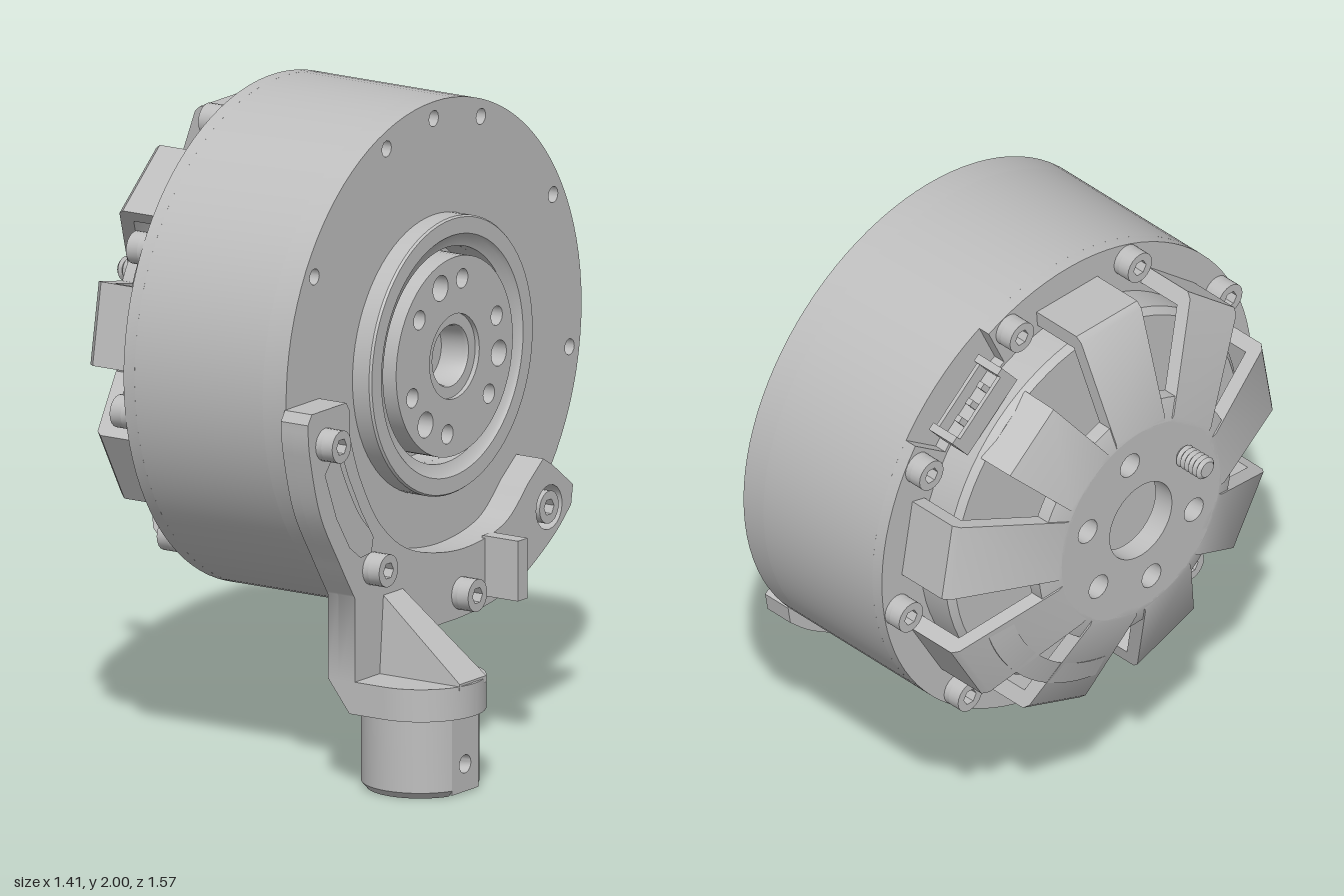
import * as THREE from 'three';
import { toCreasedNormals } from 'three/addons/utils/BufferGeometryUtils.js';

const grey = new THREE.MeshStandardMaterial({ color: 0xbebebe });
grey.name = 'machined grey';
const rad = THREE.MathUtils.degToRad;
const pts = (a) => a.map((p) => new THREE.Vector2(...p));
const polar = (r, deg) => [r * Math.cos(rad(deg)), r * Math.sin(rad(deg))];

function add(parent, name, geometry) {
  const mesh = new THREE.Mesh(toCreasedNormals(geometry, 0.6), grey);
  mesh.name = name;
  parent.add(mesh);
  return mesh;
}

// Arc of n + 1 points; ring is the closed version around (u, v)
const arc = (r, a0, a1, n) => pts(Array.from({ length: n + 1 }, (_, i) => polar(r, a0 + ((a1 - a0) * i) / n)));
const ring = (r, u = 0, v = 0, n = 20) => arc(r, 0, 360 - 360 / n, n - 1).map((p) => p.add(new THREE.Vector2(u, v)));

function shapeOf(points, holes = []) {
  const s = new THREE.Shape(points);
  holes.forEach((h) => s.holes.push(new THREE.Path(h)));
  return s;
}

// Shape seen from +x (u = -z, v = y), extruded from x0 to x1
function plate(shape, x0, x1) {
  const g = new THREE.ExtrudeGeometry(shape, { depth: x1 - x0, bevelEnabled: false, curveSegments: 10 });
  return g.rotateY(Math.PI / 2).translate(x0, 0, 0);
}

// Profile of [radius, x] pairs revolved about the x axis
const turned = (profile, segments = 72) => new THREE.LatheGeometry(pts(profile), segments).rotateZ(-Math.PI / 2);

// Cap screw with a hexagonal socket; side = 1 faces +x, -1 faces -x
function screw(parent, x, y, z, side) {
  const g = new THREE.Group();
  g.name = 'capScrew';
  add(g, 'screwBase', plate(shapeOf(ring(0.05)), 0, 0.02));
  add(g, 'screwSocket', plate(shapeOf(ring(0.05), [ring(0.026, 0, 0, 6)]), 0.02, 0.06));
  g.position.set(x, y, z);
  if (side < 0) g.rotation.y = Math.PI;
  parent.add(g);
}

// Cover spoke from a section in x and radius, widening towards the rim
function spoke(parent, section, angle) {
  const g = new THREE.ExtrudeGeometry(shapeOf(pts(section)), { depth: 1, bevelEnabled: false }).translate(0, 0, -0.5);
  const p = g.attributes.position;
  for (let i = 0; i < p.count; i++) p.setZ(i, p.getZ(i) * (0.2 + 0.15 * (p.getY(i) - 0.32)));
  add(parent, 'coverSpoke', g).rotation.x = rad(90 - angle);
}

function buildMotor() {
  const motor = new THREE.Group();
  motor.name = 'motor';
  motor.position.set(0, 1.228, -0.01);

  // Drum with a notched back rim and a drilled front plate
  add(motor, 'drum', turned([[0, -0.245], [0.772, -0.245], [0.772, 0.22], [0, 0.22]], 96));
  add(motor, 'backRim', plate(shapeOf([...arc(0.772, 65, 395, 88), ...arc(0.62, 35, 65, 8)]), -0.285, -0.245));
  const drilled = [30, 70, 90, 110, 150, 190, 210, -50, -90, -10].map((a) => ring(0.025, ...polar(0.72, a), 12));
  add(motor, 'frontPlate', plate(shapeOf(ring(0.772, 0, 0, 96), [ring(0.33, 0, 0, 64), ...drilled]), 0.22, 0.305));

  // Output bearing ring and flange
  add(motor, 'bearingRing', turned([[0.425, 0.29], [0.425, 0.365], [0.42, 0.372], [0.37, 0.372], [0.36, 0.36],
    [0.33, 0.35], [0.33, 0.22]]));
  const bolts = [[0.04, 108], [0.03, 80], [0.03, 20], [0.04, -9], [0.03, -40], [0.03, -99], [0.04, -130],
    [0.03, 201], [0.03, 141]].map(([r, a]) => ring(r, ...polar(0.235, a), 16));
  add(motor, 'outputFlange', plate(shapeOf(ring(0.305, 0, 0, 64), [ring(0.13, 0, 0, 40), ...bolts]), 0.22, 0.38));
  add(motor, 'flangeHub', turned([[0.13, 0.22], [0.13, 0.365], [0.095, 0.365], [0.09, 0.355], [0.09, 0.27],
    [0.04, 0.27], [0.04, 0.22]], 40));

  // Rear core and hollow spoked cover
  add(motor, 'rearCore', turned([[0, -0.41], [0.59, -0.41], [0.61, -0.39], [0.61, -0.28]]));
  const hubHoles = [1, 2, 3, 4, 5].map((k) => ring(0.04, ...polar(0.234, 139 + 60 * k), 16));
  add(motor, 'coverHub', plate(shapeOf(ring(0.33, 0, 0, 72), [ring(0.13, 0, 0, 40), ...hubHoles]), -0.6, -0.53));
  add(motor, 'coverHubRim', turned([[0.32, -0.53], [0.32, -0.6], [0.335, -0.6], [0.4, -0.575], [0.4, -0.53], [0.32, -0.53]]));
  const fullSpoke = [[-0.6, 0.3], [-0.6, 0.335], [-0.475, 0.66], [-0.455, 0.677], [-0.28, 0.677],
    [-0.28, 0.625], [-0.44, 0.625], [-0.53, 0.39], [-0.53, 0.3]];
  const shortSpoke = [[-0.6, 0.3], [-0.6, 0.335], [-0.51, 0.57], [-0.4, 0.59], [-0.4, 0.54], [-0.47, 0.54],
    [-0.53, 0.39], [-0.53, 0.3]];
  for (let k = 0; k < 9; k++) {
    const angle = 10 + 40 * k;
    spoke(motor, angle === 130 ? shortSpoke : fullSpoke, angle);
    const [z, y] = polar(0.72, angle + 20);
    screw(motor, -0.285, y, z, -1);
  }

  // Curved band of the cover passing under the connector
  const band = new THREE.LatheGeometry(pts([[0.5, -0.54], [0.58, -0.51], [0.58, -0.46], [0.53, -0.46], [0.5, -0.54]]),
    16, rad(100), rad(60));
  add(motor, 'coverBand', band.rotateZ(-Math.PI / 2)).rotation.x = rad(-130 + 130 - 40 + 130 - 90);

  // Threaded stud
  const thread = [[0, -0.705], [0.026, -0.705]];
  for (let i = 0; i < 6; i++) thread.push([0.037, -0.695 + i * 0.017], [0.027, -0.687 + i * 0.017]);
  thread.push([0.03, -0.56], [0, -0.56]);
  add(motor, 'threadedStud', turned(thread, 20)).position.set(0, 0.155, 0.175);

  // Cable connector: housing open outwards, with pins
  const connector = new THREE.Group();
  connector.name = 'connector';
  const box = (name, w, h, d, x, y, z) => add(connector, name, new THREE.BoxGeometry(w, h, d).translate(x, y, z));
  box('connectorFloor', 0.1, 0.03, 0.27, -0.325, 0.635, 0);
  for (const s of [-1, 1]) {
    box('connectorEnd', 0.1, 0.1, 0.025, -0.325, 0.67, s * 0.1225);
    box('connectorSide', 0.012, 0.08, 0.27, -0.325 + s * 0.044, 0.66, 0);
  }
  for (let i = -1; i <= 1; i++) box('connectorPin', 0.02, 0.07, 0.02, -0.325, 0.66, i * 0.06);
  connector.rotation.x = rad(90 - 130);
  motor.add(connector);
  return motor;
}

function buildBracket() {
  const bracket = new THREE.Group();
  bracket.name = 'mountingBracket';
  bracket.position.x = 0.004;

  // Crescent plate with a stem, in a solid layer and a pocketed layer
  const outline = () => {
    const s = new THREE.Shape(pts([[-0.77, 1.21], [-0.59, 1.21], [-0.57, 1.18], [-0.57, 1.1]]));
    s.splineThru(pts([[-0.515, 0.96], [-0.41, 0.8], [-0.25, 0.69], [0, 0.64], [0.23, 0.67], [0.36, 0.77]]));
    for (const p of [[0.44, 0.83], [0.49, 0.8], [0.595, 0.72], [0.585, 0.66]]) s.lineTo(...p);
    s.splineThru(pts([[0.49, 0.58], [0.33, 0.49], [0.175, 0.445], [0, 0.43]]));
    s.lineTo(-0.105, 0.43);
    s.quadraticCurveTo(-0.155, 0.425, -0.155, 0.37);
    for (const p of [[-0.155, 0.34], [-0.545, 0.34], [-0.545, 0.6]]) s.lineTo(...p);
    s.splineThru(pts([[-0.62, 0.715], [-0.725, 0.89], [-0.78, 1.08], [-0.79, 1.18]]));
    return s;
  };
  add(bracket, 'bracketBase', plate(outline(), 0.302, 0.34));
  const face = outline();
  const pocket = pts([[-0.7, 1.01], [-0.665, 1.05], [-0.61, 1.05], [-0.58, 0.98], [-0.515, 0.865],
    [-0.45, 0.77], [-0.46, 0.725], [-0.515, 0.72], [-0.57, 0.76], [-0.64, 0.865]]);
  for (const h of [pocket, ring(0.068, 0.47, 0.675)]) face.holes.push(new THREE.Path(h));
  add(bracket, 'bracketFace', plate(face, 0.34, 0.4));
  for (const [x, y, z] of [[0.4, 1.105, 0.7], [0.4, 0.675, 0.455], [0.4, 0.505, -0.01], [0.34, 0.675, -0.47]]) {
    screw(bracket, x, y, z, 1);
  }

  // Stop block standing off the plate
  add(bracket, 'stopBlock', new THREE.BoxGeometry(0.13, 0.185, 0.05).translate(0.455, 0.5625, -0.16));

  // Triangular gusset, wider towards its foot
  const web = new THREE.ExtrudeGeometry(shapeOf(pts([[0.39, 0.33], [0.69, 0.33], [0.69, 0.35], [0.4, 0.58], [0.39, 0.58]])),
    { depth: 1, bevelEnabled: false }).translate(0, 0, -0.5);
  const wp = web.attributes.position;
  for (let i = 0; i < wp.count; i++) wp.setZ(i, wp.getZ(i) * (0.14 - 0.16 * (wp.getY(i) - 0.34)));
  add(bracket, 'gusset', web).position.z = 0.345;

  // D-shaped collar with its lower back edge cut away
  const d = new THREE.Shape(pts([[0.302, -0.195], [0.505, -0.195]]));
  d.absarc(0.505, 0, 0.195, -Math.PI / 2, Math.PI / 2, false);
  d.lineTo(0.302, 0.195);
  const collar = new THREE.ExtrudeGeometry(d, { depth: 0.1, bevelEnabled: false, curveSegments: 32 })
    .rotateX(-Math.PI / 2).translate(0, 0.243, 0.35);
  const cp = collar.attributes.position;
  for (let i = 0; i < cp.count; i++) if (cp.getY(i) < 0.3) cp.setX(i, Math.max(cp.getX(i), 0.38));
  add(bracket, 'collar', collar);

  // Tube socket: two turned sides joined by cross-drilled flats
  const socket = new THREE.Group();
  socket.name = 'tubeSocket';
  const R = 0.13, outer = 0.177, flat = 0.163, half = Math.acos(flat / outer);
  const wall = pts([[R, 0], [0.16, 0], [outer, 0.02], [outer, 0.25], [R, 0.25], [R, 0]]);
  for (const side of [0, Math.PI]) {
    add(socket, 'socketSide', new THREE.LatheGeometry(wall, 28, side - Math.PI / 2 + half, Math.PI - 2 * half));
    const edge = [-1, -0.5, 0, 0.5, 1].map((f) => f * half);
    const border = pts([...edge.map((a) => [a, 0.006]), ...edge.reverse().map((a) => [a, 0.25])]);
    const hole = ring(1).map((p) => new THREE.Vector2(p.x * 0.17, 0.09 + p.y * 0.028));
    const g = new THREE.ExtrudeGeometry(shapeOf(border, [hole]), { depth: outer - R, bevelEnabled: false });
    const p = g.attributes.position;
    for (let j = 0; j < p.count; j++) {
      const a = p.getX(j), r = R + p.getZ(j);
      // The outside is planed to a flat, the bore stays round
      p.setXYZ(j, r > R + 0.01 ? flat : r * Math.cos(a), p.getY(j), -r * Math.sin(a));
    }
    add(socket, 'socketFlat', g.rotateY(side));
  }
  socket.position.set(0.502, 0, 0.35);
  bracket.add(socket);
  return bracket;
}

export function createModel() {
  const model = new THREE.Group();
  model.name = 'motorWithBracket';
  model.add(buildMotor(), buildBracket());
  return model;
}
